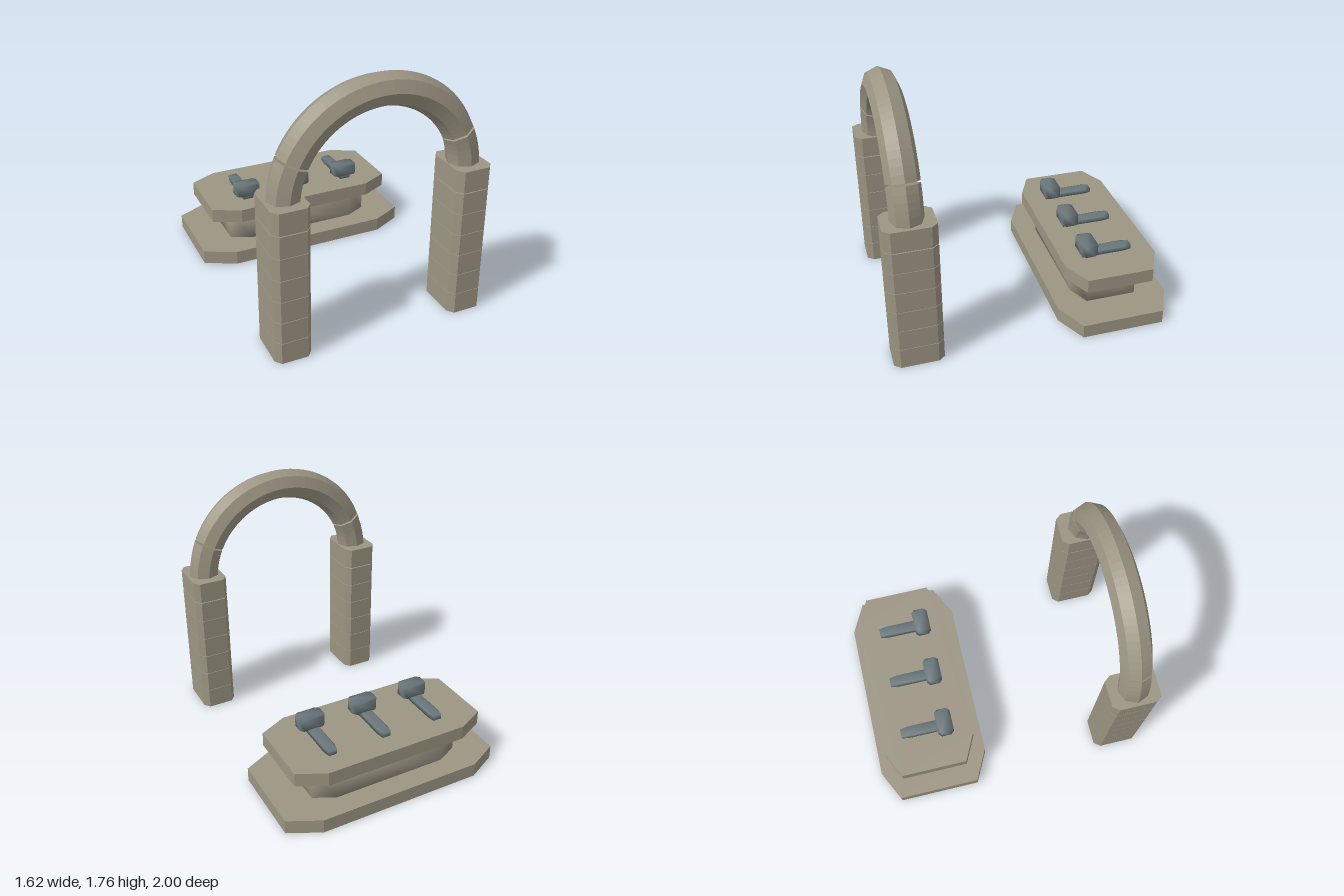
import * as THREE from 'three';
import { mergeVertices } from 'three/addons/utils/BufferGeometryUtils.js';

// Upright prism from a plan outline of [x, z] points, standing on y = 0
function prism(points, height, smooth = false) {
  const shape = new THREE.Shape(points.map(([x, z]) => new THREE.Vector2(x, -z)));
  let geo = new THREE.ExtrudeGeometry(shape, { depth: height, bevelEnabled: false });
  geo.rotateX(-Math.PI / 2);
  if (smooth) {
    geo.deleteAttribute('normal');
    geo.deleteAttribute('uv');
    geo = mergeVertices(geo);
    geo.computeVertexNormals();
  }
  return geo;
}

// Rectangle outline with cut corners: outer half sizes hx, hz and straight edge half lengths ix, iz
function cutCorner(hx, hz, ix, iz) {
  return [[hx, -iz], [hx, iz], [ix, hz], [-ix, hz], [-hx, iz], [-hx, -iz], [-ix, -hz], [ix, -hz]];
}

export function createModel() {
  const model = new THREE.Group();
  model.name = 'archAndAltar';
  const stone = new THREE.MeshStandardMaterial({ color: 0x9c9583 });
  stone.name = 'stone';
  const metal = new THREE.MeshStandardMaterial({ color: 0x69767a });
  metal.name = 'blueGreyMetal';

  function add(parent, name, geo, material, x, y, z) {
    const mesh = new THREE.Mesh(geo, material);
    mesh.name = name;
    mesh.position.set(x, y, z);
    parent.add(mesh);
    return mesh;
  }

  // Altar: foot slab, softly shaded body, table slab
  const altar = new THREE.Group();
  altar.name = 'altar';
  altar.position.z = -0.595;
  model.add(altar);
  add(altar, 'footSlab', prism(cutCorner(0.81, 0.405, 0.59, 0.295), 0.1), stone, 0, 0, 0);
  add(altar, 'altarBody', prism(cutCorner(0.56, 0.253, 0.41, 0.18), 0.2, true), stone, 0, 0.1, 0);
  add(altar, 'tableSlab', prism(cutCorner(0.71, 0.335, 0.515, 0.24), 0.1), stone, 0, 0.3, 0);

  // Three levers: a flat tapered bar with a block on its front end
  const barGeo = prism([[0.03, -0.185], [0.04, -0.13], [0.04, 0.185],
    [-0.04, 0.185], [-0.04, -0.13], [-0.03, -0.185]], 0.035, true);
  const knobGeo = prism(cutCorner(0.092, 0.059, 0.07, 0.035), 0.08, true);
  for (const x of [-0.405, 0, 0.405]) {
    const lever = new THREE.Group();
    lever.name = 'lever';
    lever.position.set(x, 0.4, 0);
    altar.add(lever);
    add(lever, 'leverBar', barGeo, metal, 0, 0, 0);
    add(lever, 'leverKnob', knobGeo, metal, 0, 0.031, 0.142);
  }

  // Two pillars of seven stacked blocks
  const pitch = 1.065 / 7;
  const blockGeo = prism(cutCorner(0.125, 0.172, 0.09, 0.128), pitch - 0.003);
  for (const side of [-1, 1]) {
    const pillar = new THREE.Group();
    pillar.name = side > 0 ? 'leftPillar' : 'rightPillar';
    pillar.position.set(side * 0.63, 0, 0.828);
    model.add(pillar);
    for (let i = 0; i < 7; i++) add(pillar, 'pillarBlock', blockGeo, stone, 0, i * pitch + (i === 6 ? 0.003 : 0), 0);
  }

  // Arch: three eight-sided curved stones with closed ends
  const archStone = new THREE.MeshStandardMaterial({ color: 0x9c9583, flatShading: true });
  archStone.name = 'archStone';
  const R = 0.625, r = 0.11;
  const arch = new THREE.Group();
  arch.name = 'arch';
  arch.position.set(0, 1.025, 0.83);
  model.add(arch);
  const capGeo = new THREE.CircleGeometry(r, 8);
  function archPiece(name, fromDeg, toDeg, segments) {
    const from = THREE.MathUtils.degToRad(fromDeg), to = THREE.MathUtils.degToRad(toDeg);
    const piece = new THREE.Group();
    piece.name = name;
    arch.add(piece);
    const bow = add(piece, 'archBow', new THREE.TorusGeometry(R, r, 8, segments, to - from), archStone, 0, 0, 0);
    bow.rotation.z = from;
    for (const [angle, flip] of [[from, 1], [to, -1]]) {
      const cap = add(piece, 'archEnd', capGeo, archStone, R * Math.cos(angle), R * Math.sin(angle), 0);
      cap.rotation.set(flip * Math.PI / 2, 0, angle, 'ZYX');
    }
  }
  archPiece('leftSpringer', 0, 24, 6);
  archPiece('crownStone', 25.3, 154.7, 32);
  archPiece('rightSpringer', 156, 180, 6);

  return model;
}
